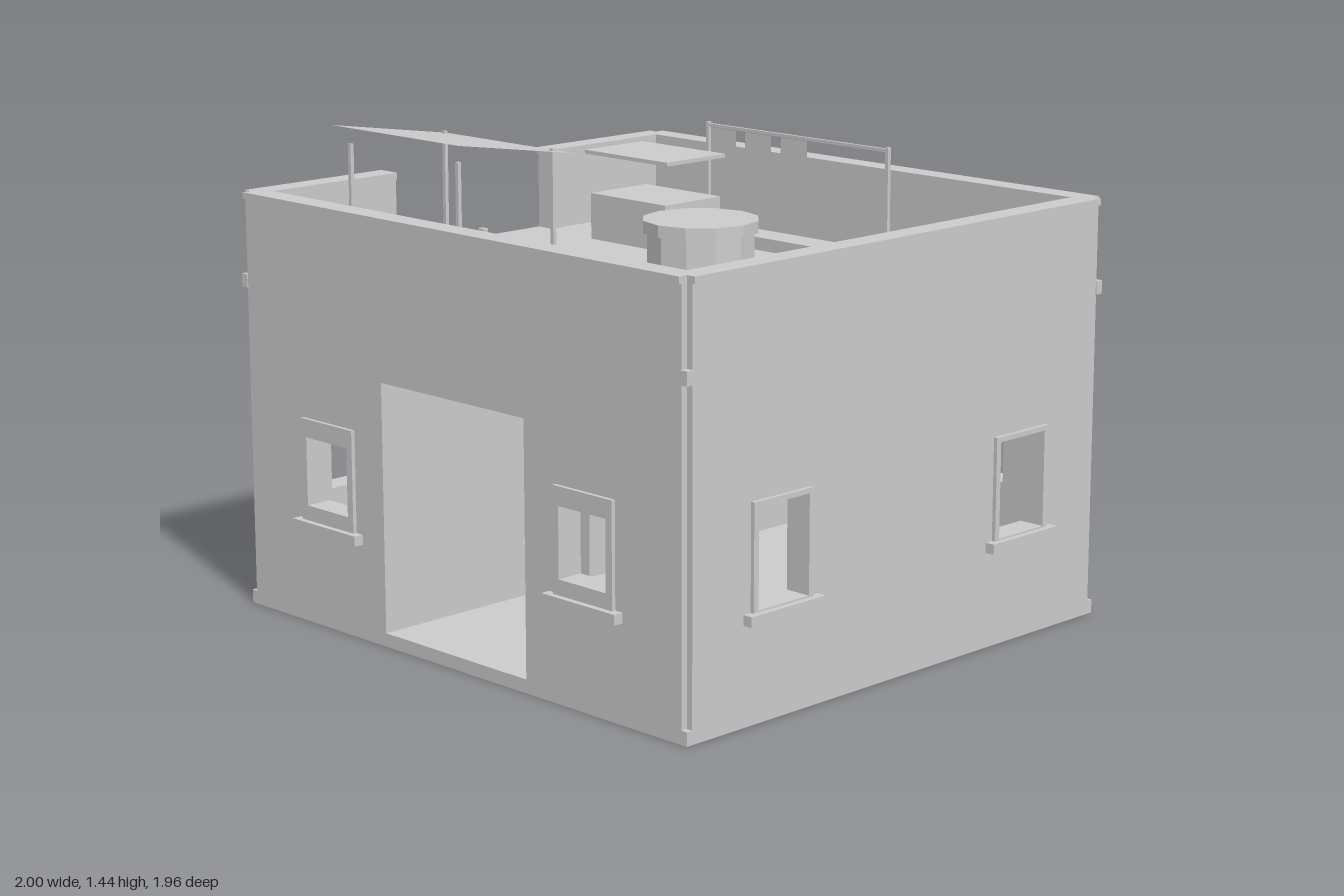
import * as THREE from 'three';

export function createModel() {
  const model = new THREE.Group();
  model.name = 'desertHouse';
  const plaster = new THREE.MeshStandardMaterial({ color: 0xcccccc });
  plaster.name = 'plasterGrey';
  const sheet = new THREE.MeshStandardMaterial({ color: 0xcccccc, side: THREE.DoubleSide });
  sheet.name = 'sheetGrey';

  const add = (name, geo, parent = model, mat = plaster) => {
    const m = new THREE.Mesh(geo, mat);
    m.name = name;
    parent.add(m);
    return m;
  };
  // Box given by its limits on each axis
  const box = (name, x0, x1, y0, y1, z0, z1, parent = model) => {
    const m = add(name, new THREE.BoxGeometry(x1 - x0, y1 - y0, z1 - z0), parent);
    m.position.set((x0 + x1) / 2, (y0 + y1) / 2, (z0 + z1) / 2);
    return m;
  };
  const loop = (pts, Type = THREE.Shape) => new Type(pts.map(p => new THREE.Vector2(...p)));
  const rect = (a, b, c, d, Type) => loop([[a, c], [b, c], [b, d], [a, d]], Type);
  const extrude = (shape, depth) => new THREE.ExtrudeGeometry(shape, { depth, bevelEnabled: false });

  // Outer and inner limits of the building
  const X0 = -0.885, X1 = 0.965, Z0 = -0.755, Z1 = 0.95;
  const T = 0.07, FLOOR = 0.04, ROOF = 1.0, TOP = 1.235, CAP = 1.255, DOOR = 0.78, N = 0.02;

  // Floor and roof deck
  box('floorSlab', X0, X1, 0, FLOOR, Z0, Z1);
  box('roofDeck', X0 + T, X1 - T, 0.96, ROOF, Z0 + T, Z1 - T);

  // Wall outline with an optional doorway notched into its lower edge
  const outline = (a, b, top, door) => loop(door
    ? [[a, FLOOR], [door[0], FLOOR], [door[0], DOOR], [door[1], DOOR], [door[1], FLOOR], [b, FLOOR], [b, top], [a, top]]
    : [[a, FLOOR], [b, FLOOR], [b, top], [a, top]]);

  // One side of the house, built facing +z with its outer face at local z = 0
  function side(name, turn, x, z, a, b, door, windows, opening, parapets) {
    const g = new THREE.Group();
    g.name = name;
    g.rotation.y = turn;
    g.position.set(x, 0, z);
    model.add(g);
    const [hw, lo, hi] = opening;
    const shape = outline(a, b, ROOF, door);
    for (const u of windows) shape.holes.push(rect(u - hw, u + hw, lo, hi, THREE.Path));
    add(name + 'Panel', extrude(shape, T), g).position.z = -T;
    for (const u of windows) {
      const frame = rect(u - 0.116, u + 0.116, 0.31, 0.62);
      frame.holes.push(rect(u - hw, u + hw, lo, hi, THREE.Path));
      add('windowFrame', extrude(frame, 0.012), g);
      box('windowSill', u - 0.143, u + 0.143, 0.285, 0.315, 0, 0.03, g);
    }
    for (const [p, q] of parapets) {
      box('parapet', p, q, ROOF, TOP, -0.06, 0, g);
      box('parapetCap', p, q, TOP, CAP, -0.066, 0.009, g);
    }
  }
  const small = [0.092, 0.36, 0.565], tall = [0.098, 0.32, 0.605];
  const xa = X0 + N, xb = X1 - N, za = Z0 + N, zb = Z1 - N;
  side('frontWall', 0, 0, Z1, xa, xb, [-0.26, 0.34], [-0.5, 0.58], small, [[xa, xb]]);
  side('backWall', Math.PI, 0, Z0, -xb, -xa, [-0.34, 0.26], [0.5, -0.58], small, [[-xb, -xa]]);
  side('leftWall', Math.PI / 2, X1, 0, -zb, -za, null, [-0.595, 0.4], tall, [[-zb, -za]]);
  side('rightWall', -Math.PI / 2, X0, 0, za, zb, null, [0.595, -0.4], tall, [[za, -0.23], [0.41, zb]]);

  // Small blocks at the corners, at roof level
  for (const x of [X0 - 0.003, X1 - 0.022])
    for (const z of [Z0 - 0.003, Z1 - 0.022])
      box('cornerBlock', x, x + 0.025, 0.97, 1.01, z, z + 0.025);

  // Inner partition with a doorway
  const partition = add('partition', extrude(outline(Z0 + T, Z1 - T, 0.96, [0.145, 0.41]), T));
  partition.rotation.y = -Math.PI / 2;
  partition.position.x = -0.26;

  // Awning and storage box behind the house
  box('awning', -0.38, 0.46, 0.83, 0.865, -0.98, Z0);
  box('storageBox', -0.73, -0.345, 0.035, 0.2, -0.95, Z0);

  // Ladder
  const ladder = new THREE.Group();
  ladder.name = 'ladder';
  model.add(ladder);
  for (const z of [-0.055, 0.225])
    box('ladderRail', -0.96, -0.933, 0.035, 1.01, z, z + 0.02, ladder);
  for (let i = 0; i < 9; i++)
    box('ladderRung', -0.955, -0.938, 0.1 + i * 0.1, 0.118 + i * 0.1, -0.04, 0.23, ladder);
  for (const y of [0.155, 0.88])
    box('ladderBracket', -1, X0, y, y + 0.02, -0.07, 0.26, ladder);

  // Water tank
  const tank = add('waterTank', new THREE.CylinderGeometry(0.152, 0.152, 0.26, 12).toNonIndexed());
  tank.position.set(0.525, 1.13, 0.457);
  const lid = add('tankLid', new THREE.CylinderGeometry(0.163, 0.163, 0.034, 12).toNonIndexed());
  lid.position.set(0.525, 1.273, 0.457);
  for (const m of [tank, lid]) m.geometry.computeVertexNormals();

  // Tilted sunshade on four posts
  const shade = add('sunshade', new THREE.PlaneGeometry(0.57, Math.hypot(0.445, 0.07)), model, sheet);
  shade.rotation.x = -Math.PI / 2 - Math.atan2(0.07, 0.445);
  shade.position.set(-0.465, 1.405, 0.4925);
  for (const x of [-0.705, -0.225])
    for (const z of [0.315, 0.68])
      box('sunshadePost', x - 0.006, x + 0.006, ROOF, 1.385, z - 0.006, z + 0.006);

  // Roof clutter: vent box with raised cover, hatch and beam
  box('ventBox', -0.61, -0.28, ROOF, 1.145, -0.44, -0.2);
  box('ventCover', -0.63, -0.265, 1.268, 1.28, -0.445, -0.193);
  box('roofHatch', 0.345, 0.665, ROOF, 1.03, -0.445, -0.165);
  box('roofBeam', -0.48, 0.2, ROOF, 1.04, -0.472, -0.43);

  // Clothes line
  for (const x of [-0.425, 0.327])
    box('linePost', x - 0.006, x + 0.006, ROOF, 1.355, -0.541, -0.529);
  box('clothesLine', -0.425, 0.327, 1.34, 1.35, -0.54, -0.53);
  for (const x of [-0.36, -0.21, -0.058]) {
    const cloth = add('cloth', new THREE.PlaneGeometry(0.11, 0.165), model, sheet);
    cloth.position.set(x, 1.255, -0.535);
  }
  return model;
}
